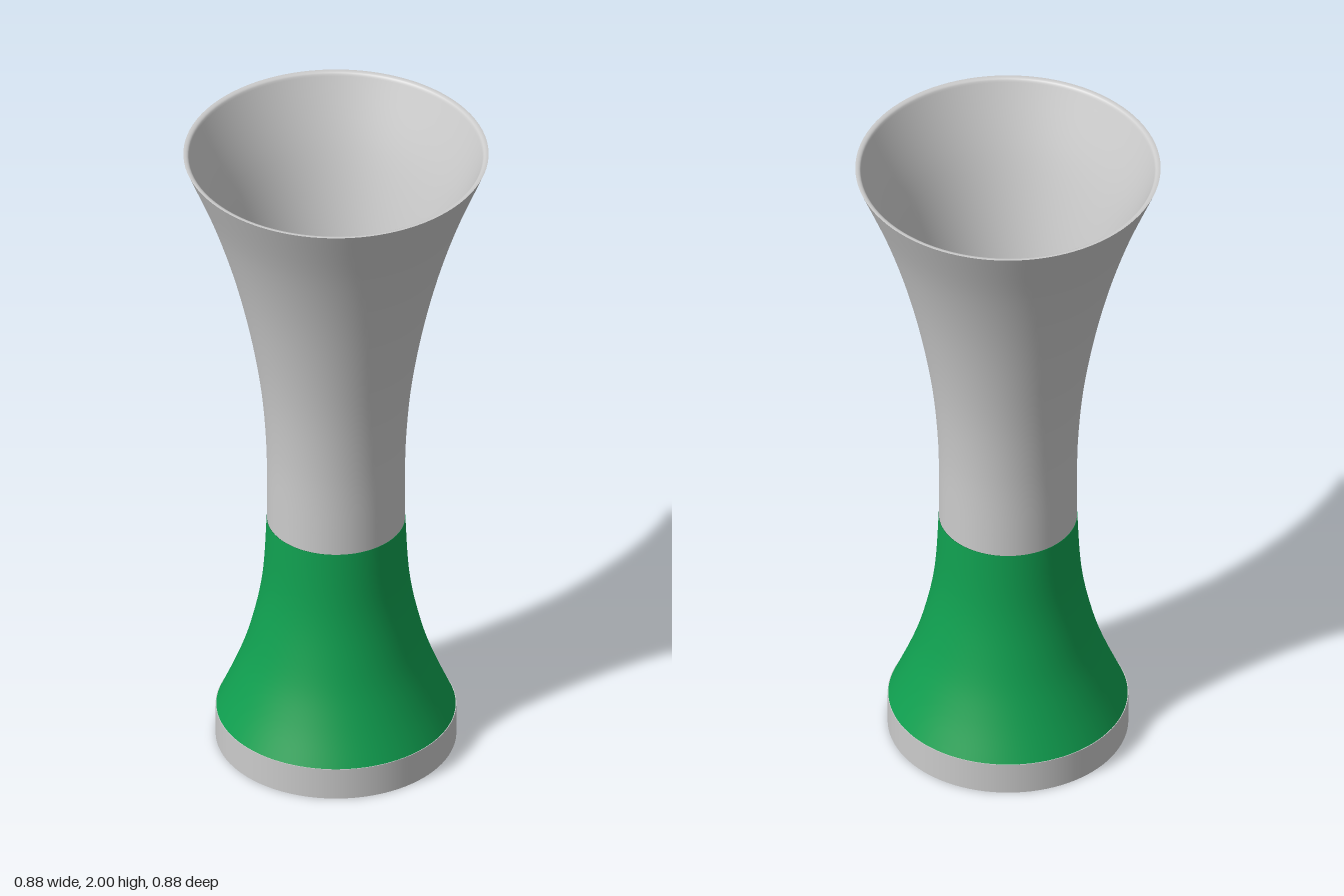
import * as THREE from 'three';

const SEGMENTS = 96;

// Smooth curve through [radius, height] pairs
function profile(pairs, divisions = 28) {
  const curve = new THREE.SplineCurve(pairs.map(([r, y]) => new THREE.Vector2(r, y)));
  return curve.getPoints(divisions);
}

export function createModel() {
  const group = new THREE.Group();
  const grey = new THREE.MeshStandardMaterial({ color: 0xcccccc });
  const greyOpen = new THREE.MeshStandardMaterial({ color: 0xcccccc, side: THREE.DoubleSide });
  const green = new THREE.MeshStandardMaterial({ color: 0x10a050, side: THREE.DoubleSide });

  function add(name, geometry, material, y = 0) {
    const mesh = new THREE.Mesh(geometry, material);
    mesh.name = name;
    mesh.position.y = y;
    group.add(mesh);
  }
  const lathe = (points) => new THREE.LatheGeometry(points, SEGMENTS);

  // Flat foot disc
  add('foot', new THREE.CylinderGeometry(0.347, 0.347, 0.1, SEGMENTS), grey, 0.05);

  // Flared coloured stem
  const stem = profile([[0.345, 0.1], [0.302, 0.2], [0.265, 0.3], [0.238, 0.4], [0.218, 0.5], [0.207, 0.6], [0.2, 0.745]]);
  add('stem', lathe(stem), green);

  // Collar between stem and cup; its top closes the cup floor
  add('collar', new THREE.CylinderGeometry(0.199, 0.199, 0.065, SEGMENTS), grey, 0.7775);

  // Trumpet-shaped cup: outer wall, rounded lip, inner wall
  const outer = profile([[0.199, 0.81], [0.201, 1.0], [0.217, 1.2], [0.25, 1.4], [0.297, 1.6], [0.36, 1.8], [0.44, 2.0]]);
  add('cupOuter', lathe(outer), greyOpen);
  const inner = profile([[0.422, 1.99], [0.343, 1.8], [0.281, 1.6], [0.235, 1.4], [0.203, 1.2], [0.187, 1.0], [0.185, 0.81]]);
  add('cupInner', lathe(inner), greyOpen);
  const lip = profile([[0.44, 2.0], [0.433, 2.0], [0.426, 1.997], [0.422, 1.99]], 8);
  add('lip', lathe(lip), greyOpen);

  return group;
}
